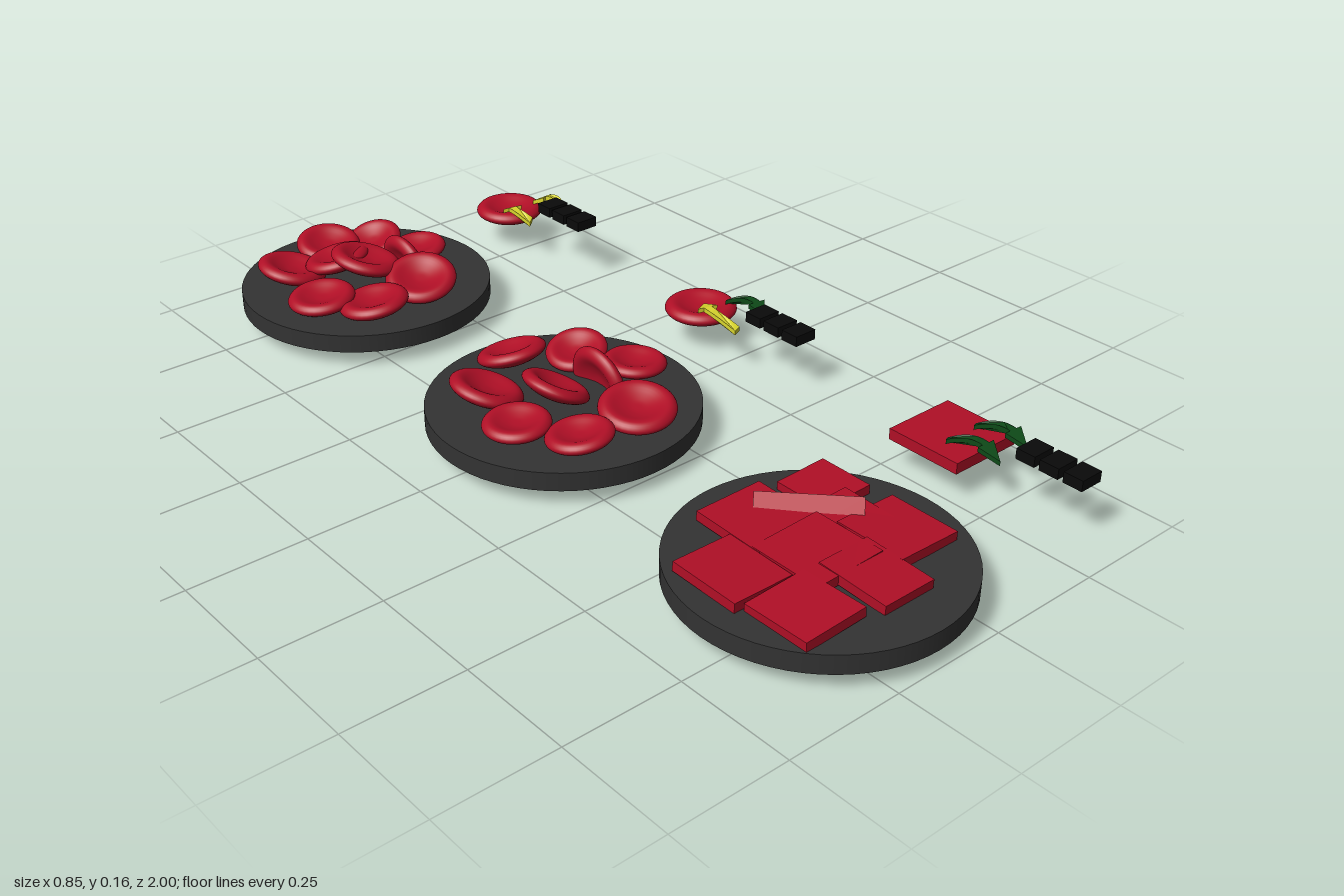
import * as THREE from 'three';

const paint = (color) => {
  const m = new THREE.MeshStandardMaterial();
  m.color.set(color);
  return m;
};

export function createModel() {
  const model = new THREE.Group();
  const red = paint(0xb00f26), slate = paint(0x333333), yellow = paint(0xd9d62e);
  const green = paint(0x0e4a18), black = paint(0x0a0a0a);

  const add = (parent, name, geometry, material, pos, rot = [0, 0, 0]) => {
    const mesh = new THREE.Mesh(geometry, material);
    mesh.name = name;
    mesh.position.set(...pos);
    mesh.rotation.set(...rot);
    parent.add(mesh);
    return mesh;
  };
  const group = (name) => {
    const g = new THREE.Group();
    g.name = name;
    model.add(g);
    return g;
  };

  // Unit blood cell: dimpled top, rounded rim, bulging underside
  const cellCurve = new THREE.SplineCurve([
    [0, -0.27], [0.45, -0.24], [0.8, -0.12], [0.97, 0.0], [0.98, 0.12],
    [0.86, 0.23], [0.7, 0.24], [0.45, 0.14], [0.2, 0.07], [0, 0.06],
  ].map(([x, y]) => new THREE.Vector2(x, y)));
  const profile = cellCurve.getPoints(28);
  profile.forEach((p) => { p.x = Math.max(p.x, 0); });
  const cellGeo = new THREE.LatheGeometry(profile, 40);
  const addCell = (parent, [x, z, y, r, rx, rz]) =>
    add(parent, 'bloodCell', cellGeo, red, [x, y, z], [rx, 0, rz]).scale.setScalar(r);

  // Curved flat arrow, arched upward in the middle
  const arrowGeo = (points) => {
    const curve = new THREE.QuadraticBezierCurve(...points.map((p) => new THREE.Vector2(...p)));
    const left = [], right = [];
    const N = 12, neck = 0.66;
    const put = (t, w) => {
      const p = curve.getPoint(t), d = curve.getTangent(t);
      left.push(new THREE.Vector2(p.x - d.y * w, p.y + d.x * w));
      right.push(new THREE.Vector2(p.x + d.y * w, p.y - d.x * w));
    };
    for (let i = 0; i <= N; i++) put((neck * i) / N, 0.009);
    put(neck, 0.022);
    const shape = new THREE.Shape([...left, curve.getPoint(1), ...right.reverse()]);
    const geo = new THREE.ExtrudeGeometry(shape, { depth: 0.01, bevelEnabled: false });
    geo.rotateX(Math.PI / 2);
    const pos = geo.attributes.position;
    const z0 = points[0][1], z1 = points[2][1];
    for (let i = 0; i < pos.count; i++) {
      const t = (pos.getZ(i) - z0) / (z1 - z0);
      pos.setY(i, pos.getY(i) + 0.018 * (1 - (2 * t - 1) ** 2));
    }
    geo.computeVertexNormals();
    return geo;
  };
  const addArrow = (parent, material, points) =>
    add(parent, 'waterArrow', arrowGeo(points), material, [0, 0.105, 0]);

  // Dishes
  const dishGeo = new THREE.CylinderGeometry(0.28, 0.28, 0.04, 64);
  for (const z of [-0.72, 0, 0.715]) add(model, 'dish', dishGeo, slate, [-0.147, 0.058, z]);

  // Crowded sample: x, z, y, radius, tilt about x, tilt about z
  const crowded = group('crowdedCells');
  [
    [-0.275, -0.83, 0.098, 0.078, 0.1, -0.2],
    [-0.14, -0.89, 0.1, 0.074, 0.2, 0.05],
    [-0.05, -0.835, 0.104, 0.066, 0.1, 0.35],
    [0.015, -0.75, 0.094, 0.066, 0, 0.12],
    [-0.295, -0.67, 0.093, 0.075, 0, 0.1],
    [-0.22, -0.575, 0.094, 0.078, -0.1, 0.12],
    [-0.085, -0.59, 0.106, 0.08, 0.25, 0.2],
    [-0.18, -0.785, 0.112, 0.075, -0.2, 0.15],
    [-0.153, -0.71, 0.127, 0.08, 0.1, -0.25],
    [-0.045, -0.7, 0.085, 0.082, 0, 1.75],
  ].forEach((c) => addCell(crowded, c));

  // Balanced sample
  const balanced = group('balancedCells');
  [
    [-0.27, -0.095, 0.1, 0.078, 0.1, -0.3],
    [-0.14, -0.18, 0.104, 0.074, -0.3, 0.05],
    [-0.02, -0.115, 0.096, 0.066, 0.1, 0.25],
    [0.04, 0, 0.093, 0.068, 0, -0.05],
    [-0.295, 0.04, 0.092, 0.07, 0, 0.06],
    [-0.23, 0.155, 0.093, 0.07, -0.1, 0.1],
    [-0.085, 0.155, 0.1, 0.08, 0.15, 0.1],
    [-0.165, -0.005, 0.107, 0.073, 0.05, -0.45],
    [-0.048, 0, 0.085, 0.08, 0, 1.72],
  ].forEach((c) => addCell(balanced, c));

  // Plant sample: square cells, x, z, y, width, depth, tilt about x, tilt about z
  const plant = group('squareCells');
  [
    [-0.31, 0.665, 0.088, 0.135, 0.155, 0.02, -0.02],
    [-0.165, 0.58, 0.09, 0.155, 0.16, 0.03, 0],
    [0.005, 0.575, 0.086, 0.12, 0.12, 0, 0.02],
    [0, 0.76, 0.088, 0.145, 0.155, 0, -0.03],
    [-0.29, 0.82, 0.088, 0.14, 0.145, -0.02, 0.04],
    [-0.13, 0.83, 0.09, 0.12, 0.155, 0.04, 0],
    [-0.16, 0.72, 0.091, 0.16, 0.16, 0, 0.03],
    [-0.045, 0.675, 0.088, 0.13, 0.12, 0.03, 0.02],
  ].forEach(([x, z, y, w, d, rx, rz]) =>
    add(plant, 'squareCell', new THREE.BoxGeometry(w, 0.02, d), red, [x, y, z], [rx, 0, rz]));
  // Square cell wedged through the dish
  const wedged = add(plant, 'wedgedCell', new THREE.BoxGeometry(0.2, 0.016, 0.14), red, [-0.105, 0.072, 0.645]);
  wedged.rotation.set(0.62, -0.8, 0, 'YXZ');

  // Single cells beside each dish
  addCell(model, [0.335, -0.82, 0.076, 0.08, 0, 0]);
  addCell(model, [0.335, -0.12, 0.076, 0.08, 0, 0]);
  add(model, 'singleSquareCell', new THREE.BoxGeometry(0.17, 0.024, 0.17), red, [0.335, 0.08, 0.6]);

  // Water flow arrows: tail, bend, tip as x, z
  const arrows = group('waterArrows');
  addArrow(arrows, yellow, [[0.303, -0.69], [0.27, -0.745], [0.32, -0.78]]);
  addArrow(arrows, yellow, [[0.395, -0.69], [0.428, -0.745], [0.378, -0.78]]);
  addArrow(arrows, yellow, [[0.293, 0.04], [0.27, -0.04], [0.32, -0.095]]);
  addArrow(arrows, green, [[0.37, -0.075], [0.405, -0.02], [0.38, 0.035]]);
  addArrow(arrows, green, [[0.288, 0.625], [0.32, 0.68], [0.3, 0.745]]);
  addArrow(arrows, green, [[0.37, 0.625], [0.4, 0.68], [0.38, 0.745]]);

  // Plain marker blocks at the end of the arrows
  const blockGeo = new THREE.BoxGeometry(0.055, 0.023, 0.043);
  const markers = group('markerBlocks');
  for (const [z, y] of [[-0.6, 0.139], [0.118, 0.128], [0.842, 0.128]])
    for (const i of [-1, 0, 1]) add(markers, 'markerBlock', blockGeo, black, [0.342, y, z + i * 0.054]);

  return model;
}
